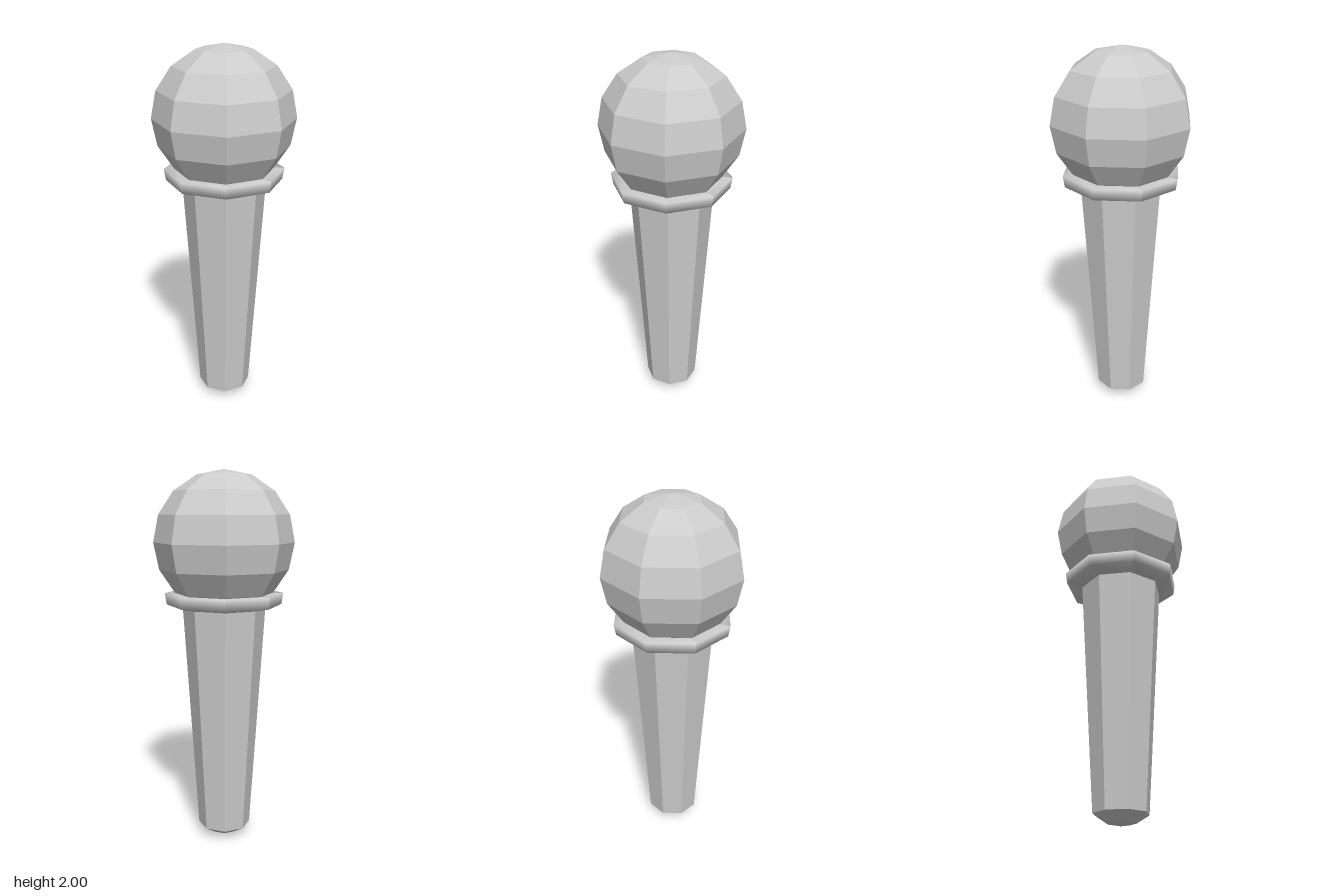
import * as THREE from 'three';
import { mergeGeometries } from 'three/addons/utils/BufferGeometryUtils.js';

const SIDES = 8;
const points = (list) => list.map(([r, y]) => new THREE.Vector2(r, y));

export function createModel() {
  const model = new THREE.Group();
  model.name = 'microphone';
  const faceted = new THREE.MeshStandardMaterial({ color: 0xcccccc, flatShading: true });
  const smooth = new THREE.MeshStandardMaterial({ color: 0xcccccc, side: THREE.DoubleSide });

  const add = (name, geometry, material) => {
    const mesh = new THREE.Mesh(geometry, material);
    mesh.name = name;
    model.add(mesh);
    return mesh;
  };

  // Round head
  add('head', new THREE.SphereGeometry(0.37, SIDES, SIDES), faceted).position.y = 1.63;

  // Tapered handle with a blunt rounded end
  const handle = points([[0, 0.005], [0.076, 0.02], [0.142, 0.062], [0.22, 1.288]]);
  add('handle', new THREE.LatheGeometry(handle, SIDES), faceted);

  // Collar: each side is smooth along its profile, with a crease between sides
  const collar = points([[0.215, 1.287], [0.305, 1.305], [0.315, 1.365], [0.23, 1.365]]);
  const step = (Math.PI * 2) / SIDES;
  const strips = [];
  for (let i = 0; i < SIDES; i++) {
    const strip = new THREE.LatheGeometry(collar, 1, i * step, step);
    strip.computeVertexNormals();
    strips.push(strip);
  }
  add('collar', mergeGeometries(strips), smooth);

  return model;
}
